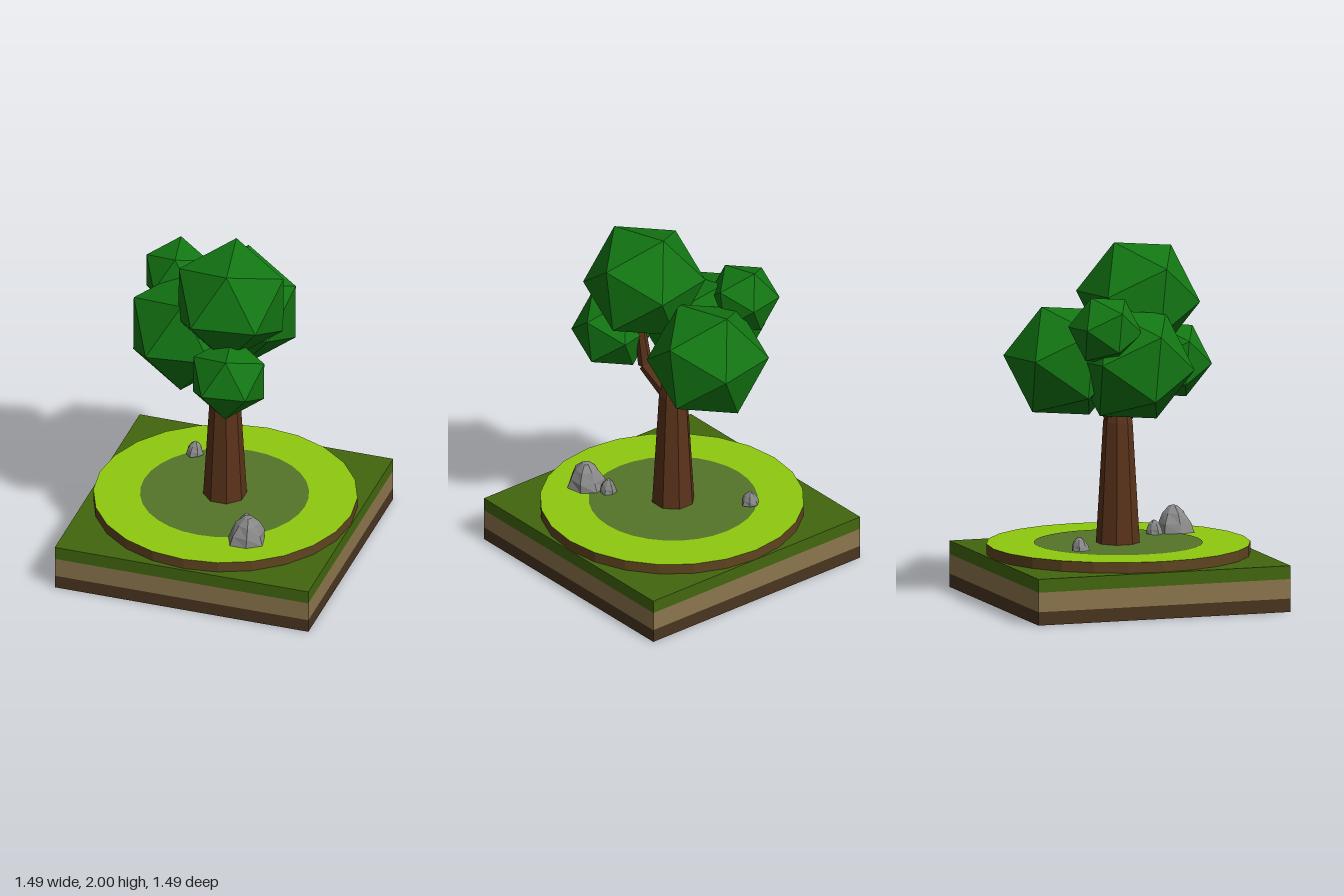
import * as THREE from 'three';

const mat = (color, extra = {}) => new THREE.MeshStandardMaterial({ color, flatShading: true, ...extra });
const GRASS = mat(0x42660e);
const LIME = mat(0x8fc90f);
const TAN = mat(0x8c754d);
const SOIL = mat(0x4a3520);
const RIM = mat(0x5f4420);
const SHADE = mat(0x55752a);
const BARK = mat(0x5a331a);
const LEAF = mat(0x137613);
const STONE = mat(0x888888);

function add(parent, name, geometry, material, x = 0, y = 0, z = 0) {
  const mesh = new THREE.Mesh(geometry, material);
  mesh.name = name;
  mesh.position.set(x, y, z);
  parent.add(mesh);
  return mesh;
}

// Tapered limb between two points
function limb(parent, name, from, to, r0, r1) {
  const a = new THREE.Vector3(...from);
  const b = new THREE.Vector3(...to);
  const dir = b.clone().sub(a);
  const mesh = add(parent, name, new THREE.CylinderGeometry(r1, r0, dir.length(), 6), BARK);
  mesh.position.copy(a).add(b).multiplyScalar(0.5);
  mesh.quaternion.setFromUnitVectors(new THREE.Vector3(0, 1, 0), dir.normalize());
}

// Faceted boulder: a few-sided dome with its rings shifted and turned
function rock(parent, name, x, y, z, r, h, turn) {
  const profile = [[0, 0], [1, 0], [0.88, 0.35], [0.6, 0.72], [0.22, 0.97], [0, 1]]
    .map(([px, py]) => new THREE.Vector2(px * r, py * h));
  const geometry = new THREE.LatheGeometry(profile, 7);
  const p = geometry.attributes.position;
  for (let i = 0; i < p.count; i++) {
    const t = p.getY(i) / h;
    const a = Math.atan2(p.getZ(i), p.getX(i));
    const k = 1 + 0.08 * Math.sin(3 * a + 4 * t);
    p.setXYZ(i, p.getX(i) * k + 0.1 * r * t, p.getY(i), p.getZ(i) * k);
  }
  geometry.computeVertexNormals();
  add(parent, name, geometry, STONE, x, y, z).rotation.y = turn;
}

export function createModel() {
  const model = new THREE.Group();

  // Square base in three layers, with a green underside
  const base = new THREE.Group();
  base.name = 'base';
  model.add(base);
  const layer = (name, y0, y1, material) =>
    add(base, name, new THREE.BoxGeometry(1.485, y1 - y0, 1.485), material, 0, (y0 + y1) / 2, 0);
  layer('soilLayer', 0, 0.075, [SOIL, SOIL, SOIL, GRASS, SOIL, SOIL]);
  layer('clayLayer', 0.075, 0.185, TAN);
  layer('grassLayer', 0.185, 0.26, GRASS);

  // Round lawn and the shaded patch under the crown
  add(model, 'lawn', new THREE.CylinderGeometry(0.735, 0.735, 0.06, 24), [RIM, LIME, RIM], 0.006, 0.29, -0.007);
  add(model, 'shadedPatch', new THREE.CircleGeometry(0.47, 32), SHADE, 0, 0.322, -0.01).rotation.x = -Math.PI / 2;

  // Eight-sided trunk with a narrowing top
  const trunk = new THREE.Group();
  trunk.name = 'trunk';
  model.add(trunk);
  const stem = (name, r0, r1, y0, y1) =>
    add(trunk, name, new THREE.CylinderGeometry(r1, r0, y1 - y0, 8), BARK, 0.002, (y0 + y1) / 2, -0.012)
      .rotation.y = Math.PI / 8;
  stem('lowerTrunk', 0.122, 0.082, 0.32, 1.0);
  stem('upperTrunk', 0.082, 0.045, 1.0, 1.17);

  // Bent branches
  [
    [[0.02, 1.02, 0.02], [0.07, 1.14, 0.15], [0.09, 1.42, 0.18]],
    [[0, 1.02, -0.03], [0.02, 1.14, -0.11], [0.02, 1.3, -0.2]],
    [[0, 1.04, 0], [-0.05, 1.15, 0], [-0.15, 1.3, 0]],
  ].forEach(([a, b, c]) => {
    limb(trunk, 'branch', a, b, 0.055, 0.04);
    limb(trunk, 'branch', b, c, 0.04, 0.028);
  });

  // Leaf clusters: icosahedra sharing one tilt
  const crown = new THREE.Group();
  crown.name = 'crown';
  model.add(crown);
  const tilt = new THREE.Matrix4().makeBasis(
    new THREE.Vector3(0.166, -0.112, 0.98),
    new THREE.Vector3(0.044, 0.993, 0.106),
    new THREE.Vector3(-0.985, 0.025, 0.17));
  [
    [0.087, 1.684, 0.137, 0.346],
    [0.005, 1.357, -0.32, 0.346],
    [-0.225, 1.353, -0.005, 0.346],
    [0.143, 1.308, 0.345, 0.234],
    [-0.34, 1.573, -0.207, 0.207],
  ].forEach(([x, y, z, r]) => {
    const geometry = new THREE.IcosahedronGeometry(r, 0).applyMatrix4(tilt);
    add(crown, 'leafCluster', geometry, LEAF, x, y, z);
  });

  // Rocks on the lawn
  rock(model, 'largeRock', 0.27, 0.32, 0.415, 0.108, 0.15, 0.3);
  rock(model, 'smallRock', 0.225, 0.32, 0.285, 0.05, 0.08, 1.2);
  rock(model, 'smallRock', -0.285, 0.335, -0.335, 0.05, 0.075, 0.7);

  return model;
}
